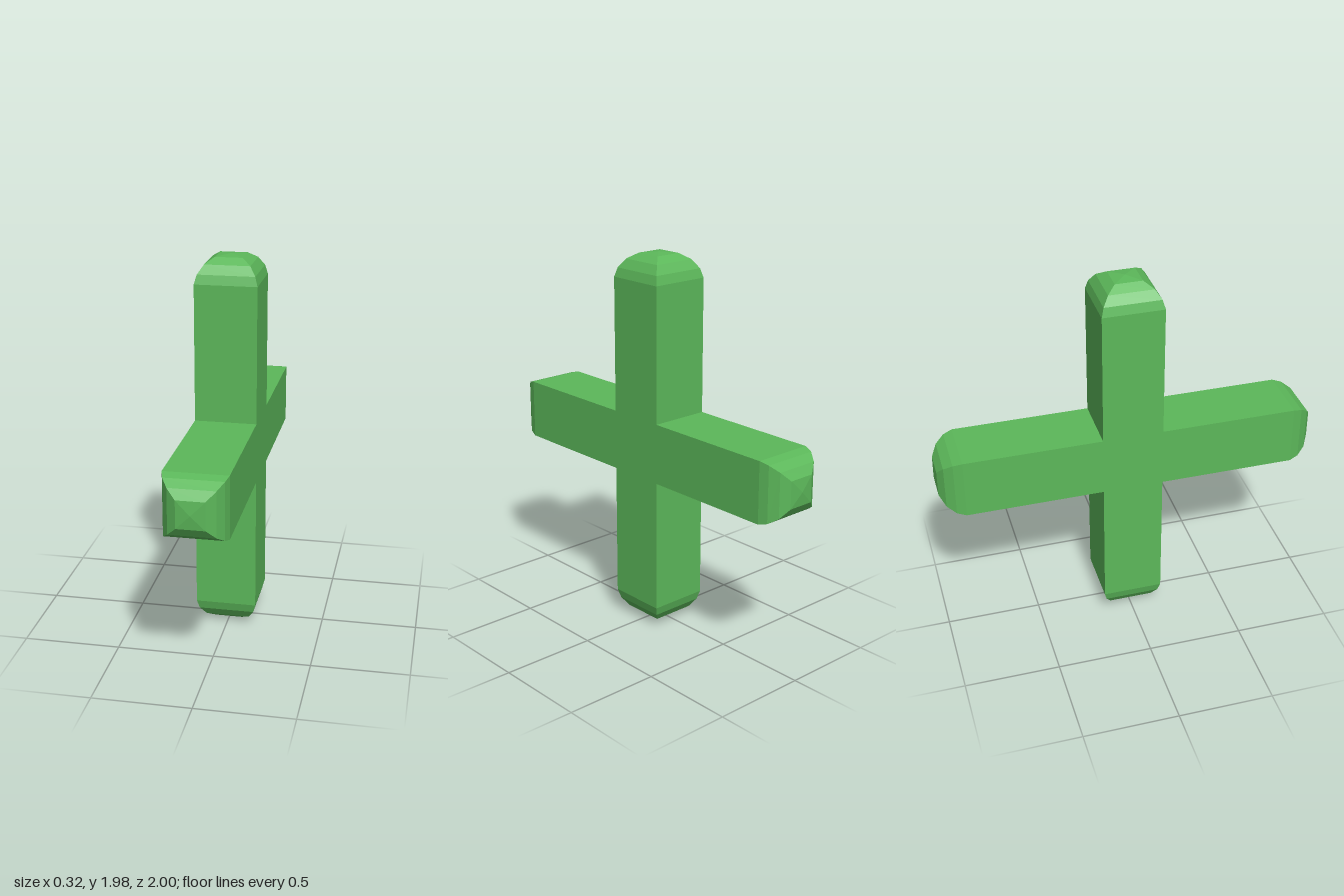
import * as THREE from 'three';

const HALF = 0.158; // half width of the square bars
const CENTRE_Y = 0.99;

// Square arm along +y with a faceted rounded tip: a four-sided lathe turned 45 degrees
function armGeometry(length) {
  const profile = [
    [HALF, HALF],
    [HALF, length - 0.13],
    [0.145, length - 0.083],
    [0.115, length - 0.038],
    [0.07, length - 0.008],
    [0, length],
  ].map(([r, y]) => new THREE.Vector2(r * Math.SQRT2, y));
  const geometry = new THREE.LatheGeometry(profile, 4, Math.PI / 4).toNonIndexed();
  geometry.computeVertexNormals();
  return geometry;
}

export function createModel() {
  const model = new THREE.Group();
  model.name = 'crossedBars';
  const material = new THREE.MeshStandardMaterial({ color: 0x5cb85a, flatShading: true });

  // Central cube where the bars meet
  const hub = new THREE.Mesh(new THREE.BoxGeometry(2 * HALF, 2 * HALF, 2 * HALF), material);
  hub.name = 'hub';
  hub.position.y = CENTRE_Y;
  model.add(hub);

  // Four arms, a quarter turn apart about x
  ['topArm', 'frontArm', 'bottomArm', 'backArm'].forEach((name, i) => {
    const arm = new THREE.Mesh(armGeometry(i % 2 ? 1 : 0.99), material);
    arm.name = name;
    arm.position.y = CENTRE_Y;
    arm.rotation.x = (i * Math.PI) / 2;
    model.add(arm);
  });
  return model;
}
